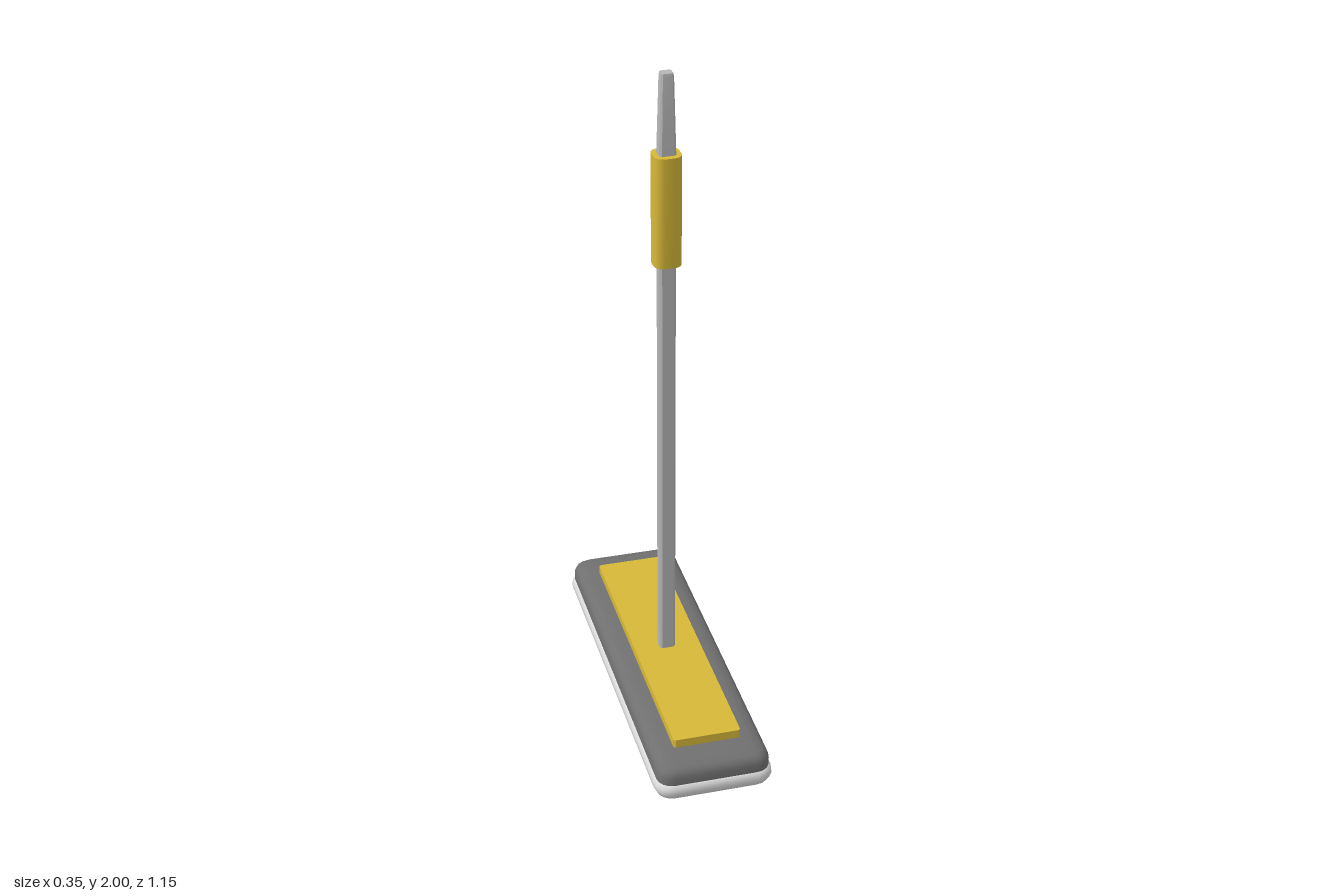
import * as THREE from 'three';
import { toCreasedNormals } from 'three/addons/utils/BufferGeometryUtils.js';

const material = (name, color) => {
  const m = new THREE.MeshStandardMaterial({ color });
  m.name = name;
  return m;
};

// Outline of a rounded rectangle in the xz plane
function outline(hx, hz, r, segs) {
  const pts = [];
  [[1, 1], [-1, 1], [-1, -1], [1, -1]].forEach(([sx, sz], q) => {
    for (let i = 0; i <= segs; i++) {
      const a = (q + i / segs) * Math.PI / 2;
      pts.push([sx * (hx - r) + r * Math.cos(a), sz * (hz - r) + r * Math.sin(a)]);
    }
  });
  return pts;
}

// Closed solid through stacked rounded rectangles: [y, halfX, halfZ, cornerRadius]
function loft(rings, segs, crease) {
  const pos = [], index = [], n = 4 * (segs + 1);
  for (const [y, hx, hz, r] of rings) {
    for (const [x, z] of outline(hx, hz, r, segs)) pos.push(x, y, z);
  }
  const last = (rings.length - 1) * n, bottom = rings.length * n, top = bottom + 1;
  pos.push(0, rings[0][0], 0, 0, rings[rings.length - 1][0], 0);
  for (let i = 0; i < n; i++) {
    const j = (i + 1) % n;
    for (let k = 0; k < last; k += n) {
      index.push(k + i, k + n + i, k + j, k + j, k + n + i, k + n + j);
    }
    index.push(bottom, i, j, top, last + j, last + i);
  }
  const g = new THREE.BufferGeometry();
  g.setAttribute('position', new THREE.Float32BufferAttribute(pos, 3));
  g.setIndex(index);
  return toCreasedNormals(g, crease);
}

export function createModel() {
  const group = new THREE.Group();
  const yellow = material('yellow plastic', 0xd6b838);
  const steel = material('grey metal', 0xb6b6b6);
  const dark = material('dark grey foam', 0x707070);
  const light = material('pale pad', 0xdcdcdc);

  const add = (name, mat, rings, segs, crease) => {
    const mesh = new THREE.Mesh(loft(rings, segs, crease), mat);
    mesh.name = name;
    group.add(mesh);
  };

  // Pale cleaning pad with a rounded rim
  add('pad', light, [
    [0, 0.125, 0.525, 0.03], [0.004, 0.15, 0.55, 0.04], [0.014, 0.166, 0.566, 0.045],
    [0.032, 0.175, 0.575, 0.05], [0.048, 0.174, 0.574, 0.05], [0.06, 0.167, 0.567, 0.045],
  ], 4, 1.1);

  // Dark head body above the pad
  add('headBody', dark, [
    [0.058, 0.167, 0.567, 0.045], [0.085, 0.167, 0.567, 0.045], [0.1, 0.162, 0.562, 0.045],
    [0.11, 0.15, 0.55, 0.04], [0.114, 0.125, 0.525, 0.03],
  ], 4, 1.1);

  // Mounting plate
  add('plate', yellow, [[0.108, 0.1, 0.465, 0.006], [0.14, 0.1, 0.465, 0.006]], 1, 0.5);

  // Chamfered pole, and its tapering tip
  add('pole', steel, [[0.13, 0.024, 0.021, 0.007], [1.75, 0.024, 0.021, 0.007]], 1, 0.5);
  add('tip', steel, [[1.74, 0.025, 0.022, 0.007], [1.99, 0.0185, 0.0165, 0.005],
    [2, 0.0165, 0.0145, 0.004]], 1, 0.5);

  // Grip sleeve
  add('grip', yellow, [[1.435, 0.04, 0.039, 0.026], [1.765, 0.04, 0.039, 0.026]], 4, 0.7);

  return group;
}
